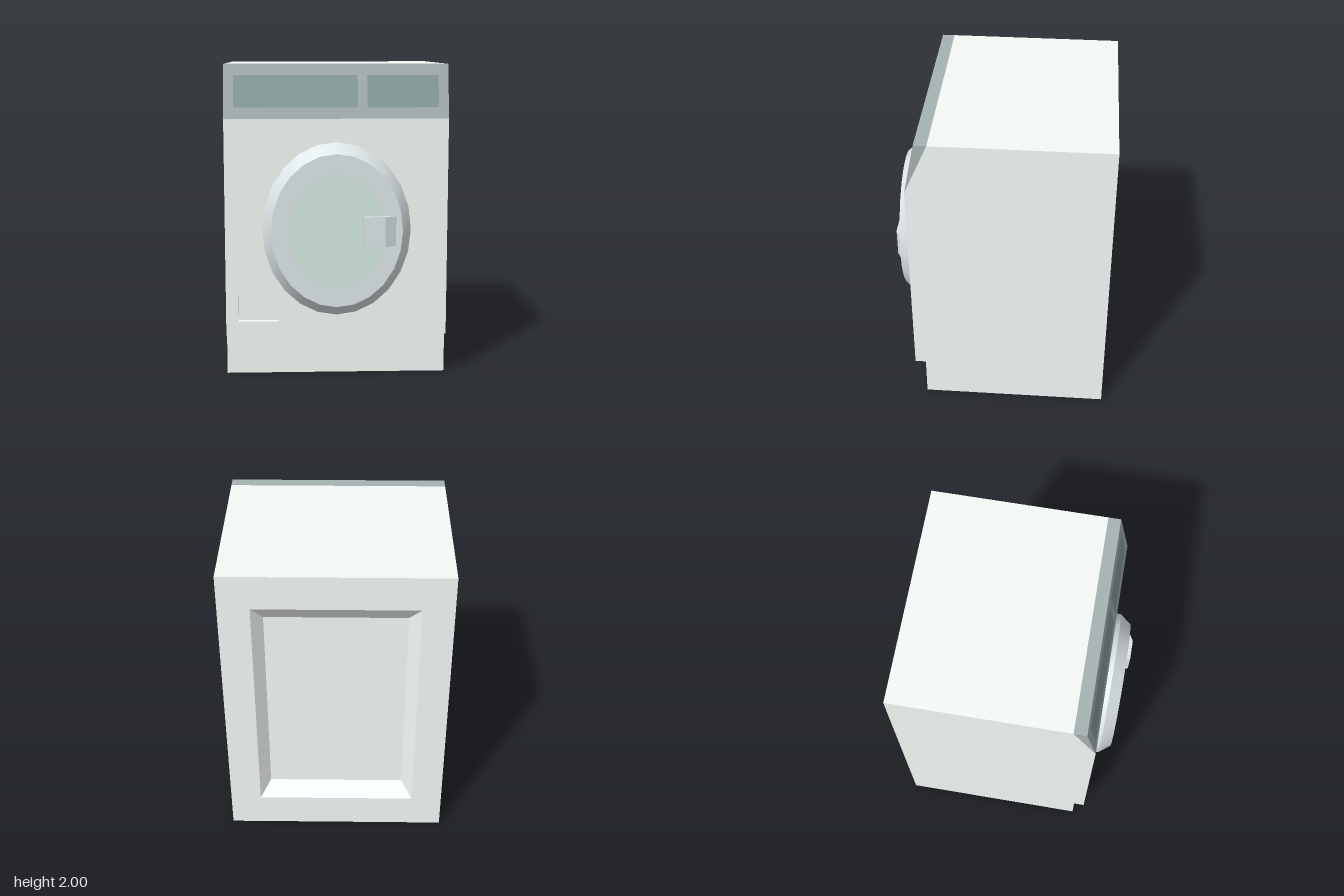
import * as THREE from 'three';
import { toCreasedNormals } from 'three/addons/utils/BufferGeometryUtils.js';

const X = 0.708, BACK = -0.708, FRONT = 0.56, KICK = 0.49, KICK_Y = 0.268, TOP = 2;
const DOOR_Y = 0.963, DOOR_Z = 0.67;

const paint = (color) => new THREE.MeshStandardMaterial({ color });

// Flat-shaded geometry from four-cornered faces
function quads(faces) {
  const pos = [];
  for (const [a, b, c, d] of faces) pos.push(...a, ...b, ...c, ...a, ...c, ...d);
  const g = new THREE.BufferGeometry();
  g.setAttribute('position', new THREE.Float32BufferAttribute(pos, 3));
  g.computeVertexNormals();
  return g;
}

// Panel facing +z: nested rectangles [x0, x1, y0, y1, z] joined outside-in, last one closed
function recessedPanel(rects) {
  const rings = rects.map(([x0, x1, y0, y1, z]) =>
    [[x0, y0, z], [x1, y0, z], [x1, y1, z], [x0, y1, z]]);
  const faces = [rings[rings.length - 1]];
  for (let r = 0; r + 1 < rings.length; r++) {
    for (let i = 0; i < 4; i++) {
      const j = (i + 1) % 4;
      faces.push([rings[r][i], rings[r][j], rings[r + 1][j], rings[r + 1][i]]);
    }
  }
  return quads(faces);
}

const outline = (points) => new THREE.Shape(points.map(([x, y]) => new THREE.Vector2(x, y)));

export function createModel() {
  const model = new THREE.Group();
  const bodyMat = paint(0xf5faf7), panelMat = paint(0xa6b2b2), displayMat = paint(0x879d9d);
  const doorMat = paint(0xdde6e8), glassMat = paint(0xd5eae1);

  function add(parent, name, geometry, material) {
    const mesh = new THREE.Mesh(geometry, material);
    mesh.name = name;
    parent.add(mesh);
    return mesh;
  }

  // Cabinet: side profile as [z, y], with stepped plinth and sloping top front
  const cabinet = new THREE.Group();
  cabinet.name = 'cabinet';
  model.add(cabinet);
  const profile = [[KICK, 0], [KICK, KICK_Y], [FRONT, KICK_Y], [FRONT, 1.66], [0.41, TOP], [BACK, TOP], [BACK, 0]];
  for (const s of [1, -1]) {
    const side = add(cabinet, s > 0 ? 'leftSide' : 'rightSide',
      new THREE.ShapeGeometry(outline(profile.map(([z, y]) => [-s * z, y]))), bodyMat);
    side.rotation.y = s * Math.PI / 2;
    side.position.x = s * X;
  }
  const strips = [];
  profile.forEach(([z, y], i) => {
    if (i === 2 || i === 5) return; // front and back have their own panels
    const [z2, y2] = profile[(i + 1) % profile.length];
    strips.push([[-X, y, z], [X, y, z], [X, y2, z2], [-X, y2, z2]]);
  });
  add(cabinet, 'topBottomAndPlinth', quads(strips), bodyMat);

  // Front panel with a filter hatch recess
  add(cabinet, 'frontPanel', recessedPanel([
    [-X, X, KICK_Y, 1.66, FRONT],
    [-0.627, -0.37, 0.36, 0.527, FRONT],
    [-0.627, -0.37, 0.36, 0.527, FRONT - 0.04],
  ]), bodyMat);

  // Back panel with a bevelled recess
  add(cabinet, 'backPanel', recessedPanel([
    [-X, X, 0, TOP, -BACK],
    [-0.51, 0.51, 0.227, 1.773, -BACK],
    [-0.44, 0.44, 0.33, 1.67, -BACK - 0.07],
  ]), bodyMat).rotation.y = Math.PI;

  // Control panel wedge
  const controls = new THREE.Group();
  controls.name = 'controls';
  model.add(controls);
  const wedge = add(controls, 'controlPanel', new THREE.ExtrudeGeometry(
    outline([[-FRONT, 1.66], [-0.41, TOP], [-KICK, TOP]]),
    { depth: 2 * X, bevelEnabled: false }), panelMat);
  wedge.rotation.y = Math.PI / 2;
  wedge.position.x = -X;

  // Displays lying on the slope
  const tilt = Math.atan2(FRONT - KICK, TOP - 1.66);
  for (const [x0, x1] of [[-0.645, 0.135], [0.195, 0.645]]) {
    const display = add(controls, 'display', new THREE.PlaneGeometry(x1 - x0, 0.2 / Math.cos(tilt)), displayMat);
    display.rotation.x = -tilt;
    display.position.set((x0 + x1) / 2, 1.83, FRONT - (1.83 - 1.66) * Math.tan(tilt) + 0.001);
  }

  // Oval door: rim, flat face and glass
  const door = new THREE.Group();
  door.name = 'door';
  door.position.y = DOOR_Y;
  model.add(door);
  const rim = new THREE.LatheGeometry(
    [[1, FRONT], [1, 0.595], [0.88, DOOR_Z]].map(([r, z]) => new THREE.Vector2(r, z)), 24);
  rim.rotateX(Math.PI / 2).scale(0.47, 0.552, 1);
  add(door, 'doorRim', toCreasedNormals(rim, 0.55), doorMat);
  const disc = (rx, ry) => new THREE.CircleGeometry(1, 24).scale(rx, ry, 1);
  add(door, 'doorFace', disc(0.47 * 0.88, 0.552 * 0.88), doorMat).position.z = DOOR_Z;
  add(door, 'doorGlass', disc(0.3, 0.36), glassMat).position.z = DOOR_Z + 0.001;

  // Door handle with one chamfered end, outlined from above and extruded upwards
  const handle = add(door, 'doorHandle', new THREE.ExtrudeGeometry(
    outline([[0.165, -DOOR_Z], [0.37, -DOOR_Z], [0.3, -0.708], [0.165, -0.708]]),
    { depth: 0.19, bevelEnabled: false }), doorMat);
  handle.rotation.x = -Math.PI / 2;
  handle.position.y = -0.095;
  return model;
}
